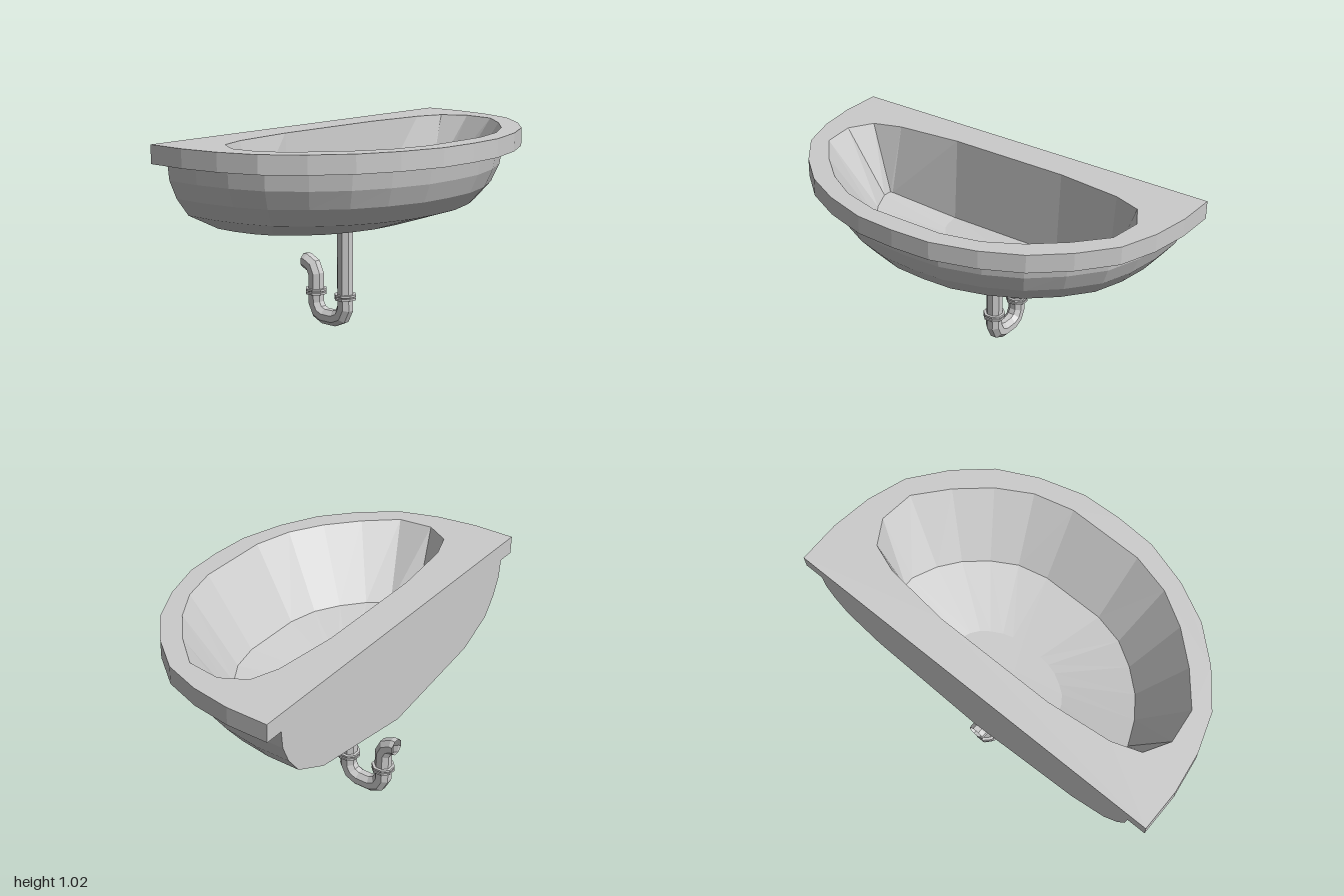
import * as THREE from 'three';

const material = new THREE.MeshStandardMaterial({ color: 0xcccccc, flatShading: true });
const openMaterial = new THREE.MeshStandardMaterial({ color: 0xcccccc, flatShading: true, side: THREE.DoubleSide });

const WALL = -0.54, TOP = 1.02;

// Skin between closed rings of equal length
function loft(rings) {
  const pos = [];
  const n = rings[0].length;
  for (let i = 0; i + 1 < rings.length; i++) {
    for (let j = 0; j < n; j++) {
      const k = (j + 1) % n;
      const a = rings[i][j], b = rings[i][k], c = rings[i + 1][j], d = rings[i + 1][k];
      pos.push(...a, ...c, ...b, ...b, ...c, ...d);
    }
  }
  const g = new THREE.BufferGeometry();
  g.setAttribute('position', new THREE.Float32BufferAttribute(pos, 3));
  g.computeVertexNormals();
  return g;
}

// Complete a half outline of [x, z, ...] by mirroring it across z = 0
const mirrored = (half) => [
  ...half,
  ...half.filter((p) => p[1] !== 0).reverse().map(([x, z, ...rest]) => [x, -z, ...rest]),
];

function createModel() {
  const model = new THREE.Group();
  const add = (name, geometry, mat = material) => {
    const mesh = new THREE.Mesh(geometry, mat);
    mesh.name = name;
    model.add(mesh);
    return mesh;
  };

  // Rim edge and tapering underside, flat against the wall
  const outline = mirrored([
    [WALL, 1], [-0.33, 1], [-0.13, 0.97], [0.06, 0.905], [0.23, 0.77],
    [0.37, 0.61], [0.465, 0.42], [0.53, 0.2], [0.54, 0],
  ]);
  const levels = [ // height, depth scale, width scale
    [TOP, 1, 1], [0.93, 1, 1], [0.93, 0.921, 0.905], [0.84, 0.907, 0.895],
    [0.75, 0.87, 0.855], [0.66, 0.796, 0.785], [0.57, 0.54, 0.6], [0.48, 0, 0],
  ];
  add('basinShell', loft(levels.map(([y, sx, sz]) =>
    outline.map(([x, z]) => [WALL + (x - WALL) * sx, y, z * sz]))));

  // Flat rim top with the bowl opening
  const opening = mirrored([
    [-0.365, 0.31], [-0.33, 0.64], [-0.28, 0.78], [-0.16, 0.85], [0.01, 0.83],
    [0.16, 0.7], [0.29, 0.55], [0.385, 0.385], [0.435, 0.19],
  ]);
  const toShape = (pts) => pts.map(([x, z]) => new THREE.Vector2(x, -z));
  const rim = new THREE.Shape(toShape(outline));
  rim.holes.push(new THREE.Path(toShape(opening)));
  add('rimTop', new THREE.ShapeGeometry(rim).rotateX(-Math.PI / 2).translate(0, TOP, 0));

  // Bowl interior: steep wall, sloping floor, flat bottom
  const floor = mirrored([
    [-0.345, 0.31, 0.595], [-0.265, 0.655, 0.667], [-0.26, 0.665, 0.67], [-0.21, 0.665, 0.672],
    [-0.09, 0.61, 0.672], [0.01, 0.535, 0.67], [0.1, 0.43, 0.67], [0.17, 0.31, 0.67], [0.205, 0.16, 0.67],
  ]);
  const bottom = mirrored([
    [-0.345, 0.305], [-0.31, 0.305], [-0.27, 0.3], [-0.23, 0.285], [-0.19, 0.255],
    [-0.16, 0.215], [-0.13, 0.16], [-0.115, 0.11], [-0.11, 0.055],
  ]);
  add('bowl', loft([
    bottom.map(() => [-0.24, 0.59, 0]),
    bottom.map(([x, z]) => [x, 0.595, z]),
    floor.map(([x, z, y]) => [x, y, z]),
    opening.map(([x, z]) => [x, TOP, z]),
  ]));

  // Drain trap: eight-sided pipe with mitred bends
  const path = [
    [-0.265, 0.54], [-0.265, 0.105], [-0.287, 0.062], [-0.33, 0.043], [-0.405, 0.043],
    [-0.446, 0.062], [-0.468, 0.105], [-0.468, 0.255], [-0.487, 0.296], [-0.525, 0.315], [WALL, 0.315],
  ].map((p) => new THREE.Vector2(...p));
  const sides = 8, radius = 0.0425;
  const pipeRings = path.map((p, i) => {
    const before = p.clone().sub(path[Math.max(i - 1, 0)]).normalize();
    const after = path[Math.min(i + 1, path.length - 1)].clone().sub(p).normalize();
    const t = before.clone().add(after).normalize();
    const miter = 1 / t.dot(i ? before : after);
    return Array.from({ length: sides }, (_, k) => {
      const a = ((k + 0.5) / sides) * Math.PI * 2;
      const r = radius * Math.cos(a) * miter;
      return [p.x - t.y * r, p.y + t.x * r, -radius * Math.sin(a)];
    });
  });
  add('drainPipe', loft(pipeRings), openMaterial);

  // Paired coupling flanges on both legs of the trap
  for (const x of [-0.265, -0.468]) {
    for (const y of [0.158, 0.175]) {
      const flange = new THREE.CylinderGeometry(0.057, 0.057, 0.011, sides).rotateY(Math.PI / sides);
      add('pipeFlange', flange).position.set(x, y, 0);
    }
  }

  return model;
}

export { createModel };
